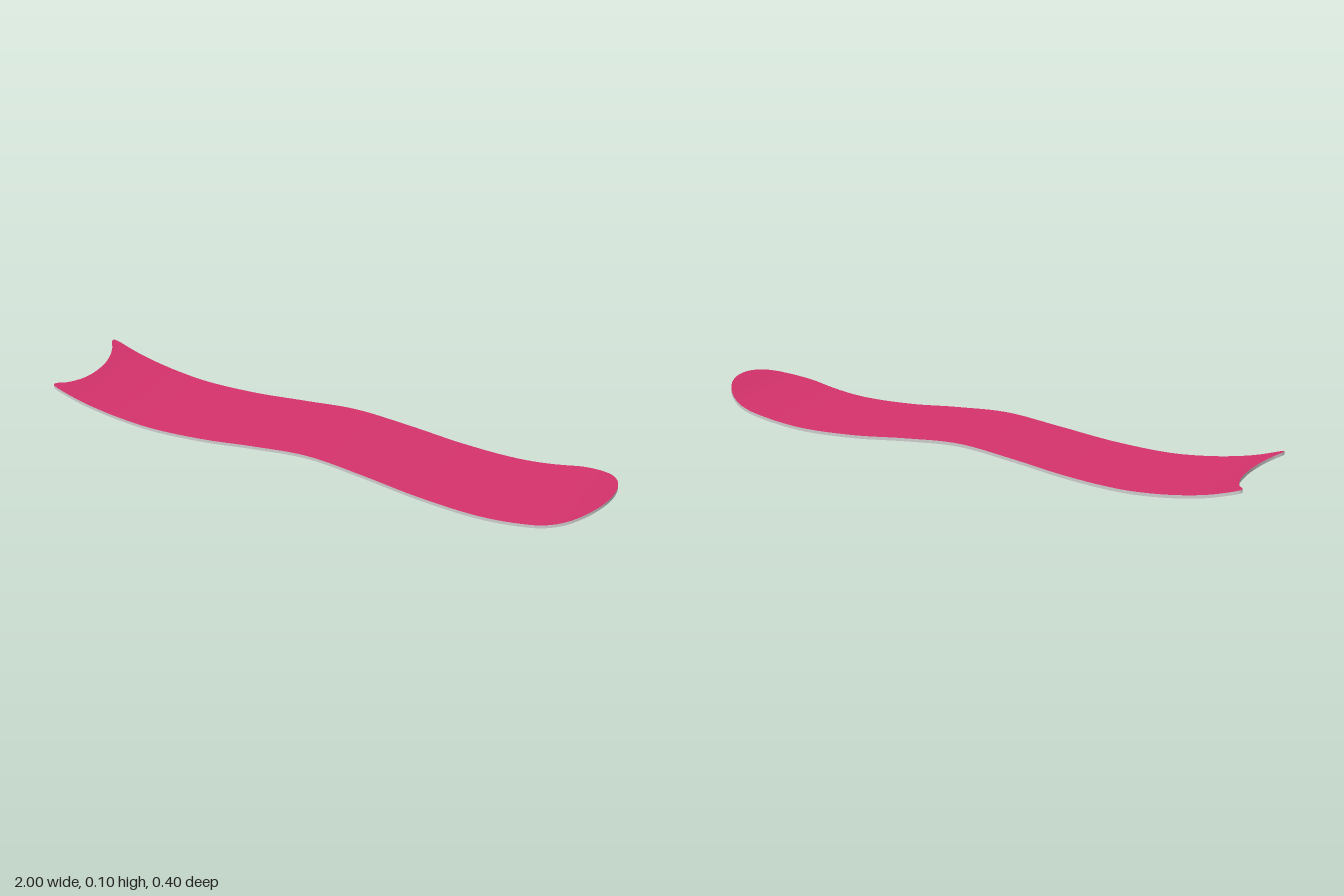
import * as THREE from 'three';

const COLS = 80, ROWS = 48, THICK = 0.011;

// smooth curve through a few [position, value] pairs
function smooth(pairs) {
  const c = new THREE.CubicInterpolant(pairs.map(p => p[0]), pairs.map(p => p[1]), 1, [0]);
  return x => c.evaluate(x)[0];
}

// underside height along the length: camber with raised tips
const height = smooth([[-1, 0.076], [-0.9, 0.043], [-0.8, 0.021], [-0.7, 0.007], [-0.6, 0], [-0.4, 0.007],
  [-0.2, 0.028], [0, 0.045], [0.2, 0.03], [0.4, 0.008], [0.6, 0], [0.7, 0.007], [0.8, 0.023], [0.9, 0.046], [1, 0.084]]);
// half width with a narrow waist
const sidecut = smooth([[-1, 0.2], [-0.95, 0.199], [-0.5, 0.187], [-0.1, 0.177], [0.3, 0.186], [0.8, 0.2]]);
// notched tail with rounded corners, over the width fraction
const tail = smooth([[-0.25, -0.946], [0, -0.943], [0.25, -0.946], [0.5, -0.957], [0.75, -0.978],
  [0.88, -0.996], [0.94, -1], [0.98, -0.995], [1, -0.98]]);

// point on the board: i runs tail to nose, j runs across
function point(i, j, lift) {
  const s = Math.sin((j / ROWS - 0.5) * Math.PI);
  const nose = 0.8 + 0.2 * Math.sqrt(Math.max(0, 1 - s * s));
  const x = THREE.MathUtils.lerp(tail(Math.abs(s)), nose, i / COLS);
  return [x, height(x) + lift, s * sidecut(Math.min(x, 0.8))];
}

function makeMesh(name, positions, index, color) {
  const g = new THREE.BufferGeometry();
  g.setAttribute('position', new THREE.Float32BufferAttribute(positions, 3));
  g.setIndex(index);
  g.computeVertexNormals();
  const mesh = new THREE.Mesh(g, new THREE.MeshStandardMaterial({ color }));
  mesh.name = name;
  return mesh;
}

// top or bottom face as a grid
function sheet(name, lift, up, color) {
  const pos = [], idx = [], n = ROWS + 1;
  for (let i = 0; i <= COLS; i++) for (let j = 0; j <= ROWS; j++) pos.push(...point(i, j, lift));
  for (let i = 0; i < COLS; i++) for (let j = 0; j < ROWS; j++) {
    const a = i * n + j, b = a + 1, c = a + n, d = c + 1;
    if (up) idx.push(a, b, c, b, d, c);
    else idx.push(a, c, b, b, c, d);
  }
  return makeMesh(name, pos, idx, color);
}

// side wall following the outline
function rim() {
  const loop = [], pos = [], idx = [];
  for (let i = 0; i < COLS; i++) loop.push([i, ROWS]);
  for (let j = ROWS; j > 0; j--) loop.push([COLS, j]);
  for (let i = COLS; i > 0; i--) loop.push([i, 0]);
  for (let j = 0; j < ROWS; j++) loop.push([0, j]);
  loop.forEach(([i, j], k) => {
    pos.push(...point(i, j, 0), ...point(i, j, THICK));
    const a = 2 * k, b = 2 * ((k + 1) % loop.length);
    idx.push(a, b, a + 1, b, b + 1, a + 1);
  });
  return makeMesh('edge', pos, idx, 0xcccccc);
}

export function createModel() {
  const board = new THREE.Group();
  board.name = 'snowboard';
  board.add(
    sheet('topSheet', THICK, true, 0xd6336c),
    sheet('base', 0, false, 0x222222),
    rim()
  );
  return board;
}
